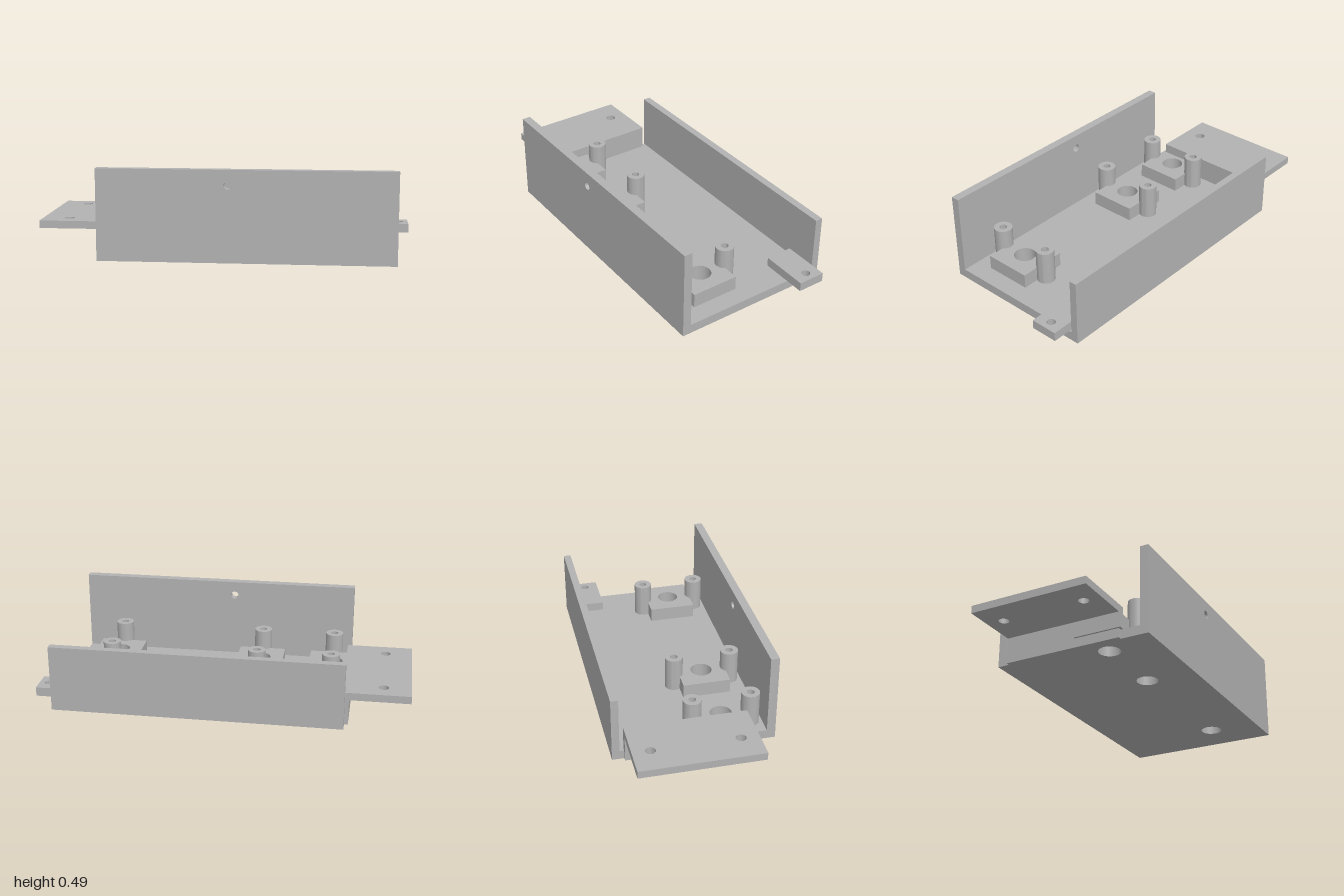
import * as THREE from 'three';
import { toCreasedNormals } from 'three/addons/utils/BufferGeometryUtils.js';

const grey = new THREE.MeshStandardMaterial({ color: 0xb2b2b2 });
grey.name = 'plain grey';

// Extrude an outline with round holes [u, v, radius], keeping its edges crisp
function extrude(shape, holes, depth) {
  for (const [u, v, r] of holes) {
    shape.holes.push(new THREE.Path().absarc(u, v, r, 0, Math.PI * 2, true));
  }
  return new THREE.ExtrudeGeometry(shape, { depth, bevelEnabled: false, curveSegments: 32 });
}

function rectangle(u0, u1, v0, v1) {
  return new THREE.Shape([
    new THREE.Vector2(u0, v0), new THREE.Vector2(u1, v0),
    new THREE.Vector2(u1, v1), new THREE.Vector2(u0, v1),
  ]);
}

function part(name, geometry) {
  const mesh = new THREE.Mesh(toCreasedNormals(geometry, 0.6), grey);
  mesh.name = name;
  return mesh;
}

// Horizontal slab, holes given as [x, z, radius]
function slab(name, [x0, x1], [y0, y1], [z0, z1], holes = []) {
  const flipped = holes.map(([x, z, r]) => [x, -z, r]);
  const geometry = extrude(rectangle(x0, x1, -z1, -z0), flipped, y1 - y0);
  return part(name, geometry.rotateX(-Math.PI / 2).translate(0, y0, 0));
}

// Upright wall, holes given as [x, y, radius]
function wall(name, [x0, x1], [y0, y1], [z0, z1], holes = []) {
  const geometry = extrude(rectangle(x0, x1, y0, y1), holes, z1 - z0);
  return part(name, geometry.translate(0, 0, z0));
}

// Hollow screw post standing on the floor
function post(name, x, z) {
  const ring = new THREE.Shape().absarc(0, 0, 0.049, 0, Math.PI * 2, false);
  const geometry = extrude(ring, [[0, 0, 0.02]], 0.185);
  return part(name, geometry.rotateX(-Math.PI / 2).translate(x, 0.05, z));
}

export function createModel() {
  const model = new THREE.Group();
  model.name = 'mountingTray';

  const span = [-0.66, 0.9];
  const stations = [-0.56, -0.15, 0.67];
  const boreZ = 0.163;
  const boreRadius = 0.058;

  // Channel: floor with three bores, tall front wall and lower back wall
  model.add(
    slab('floor', span, [0, 0.05], [-0.432, 0.432], stations.map((x) => [x, boreZ, boreRadius])),
    wall('frontWall', span, [0.05, 0.488], [0.386, 0.432], [[0.03, 0.408, 0.022]]),
    wall('backWall', span, [0.05, 0.362], [-0.432, -0.392]),
  );

  // Bored pads, each with a pair of screw posts
  stations.forEach((x, i) => {
    const station = new THREE.Group();
    station.name = `station${i + 1}`;
    station.add(
      slab('pad', [x - 0.13, x + 0.13], [0.05, 0.128], [0.033, 0.293], [[x, boreZ, boreRadius]]),
      post('frontPost', x, 0.32),
      post('rearPost', x, 0.009),
    );
    model.add(station);
  });

  // Raised flange on the right end, carried by an upright web
  model.add(
    slab('flangePlate', [-1, -0.64], [0.14, 0.181], [-0.368, 0.28],
      [[-0.855, -0.274, 0.027], [-0.855, 0.185, 0.027]]),
    slab('flangeWeb', [-0.68, -0.64], [0, 0.14], [-0.368, 0.28]),
  );

  // Small drilled tab on the left end
  model.add(slab('endTab', [0.74, 1], [0.05, 0.099], [-0.377, -0.228], [[0.95, -0.305, 0.023]]));

  return model;
}
